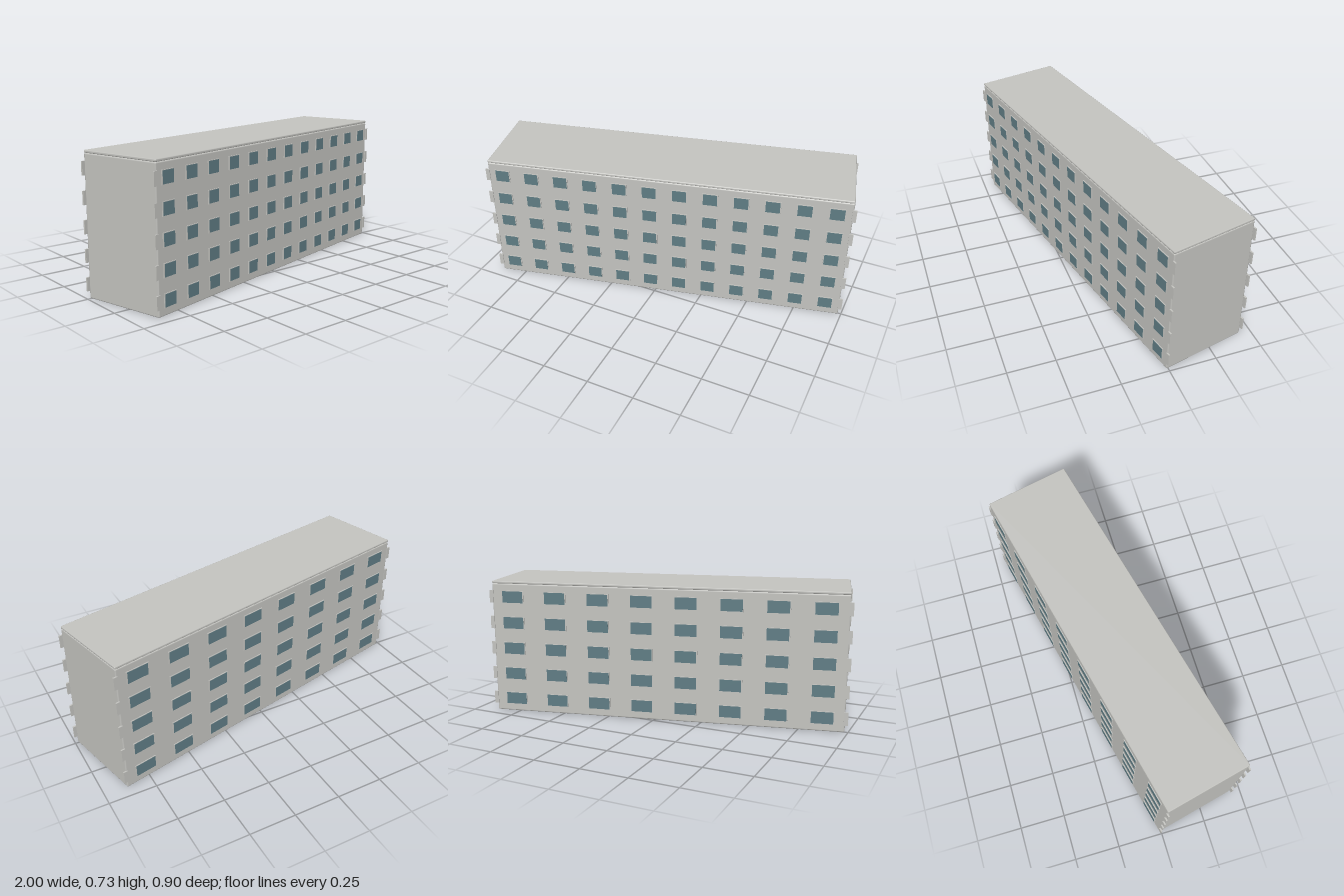
import * as THREE from 'three';
import { RoundedBoxGeometry } from 'three/addons/geometries/RoundedBoxGeometry.js';

const LENGTH = 1.914, DEPTH = 0.462, WALL_TOP = 0.718, HEIGHT = 0.732;
const ROWS = 5, FIRST_ROW = 0.0735, ROW_PITCH = 0.143, WINDOW_HEIGHT = 0.063;

export function createModel() {
  const concrete = new THREE.MeshStandardMaterial({ color: 0xc3c3bf });
  concrete.name = 'concrete';
  const glass = new THREE.MeshStandardMaterial({ color: 0x5f7c84 });
  glass.name = 'window glass';

  const building = new THREE.Group();
  building.name = 'apartmentBlock';

  function add(parent, name, geometry, material, x, y, z) {
    const mesh = new THREE.Mesh(geometry, material);
    mesh.name = name;
    mesh.position.set(x, y, z);
    parent.add(mesh);
  }

  // Bevelled main block and the roof slab above a fine groove
  add(building, 'walls', new RoundedBoxGeometry(LENGTH, WALL_TOP, DEPTH, 1, 0.007), concrete, 0, WALL_TOP / 2, 0);
  const slab = HEIGHT - WALL_TOP;
  add(building, 'roofSlab', new RoundedBoxGeometry(LENGTH, slab, DEPTH, 1, 0.005), concrete, 0, WALL_TOP + slab / 2, 0);

  // One long side, built facing +z: a grid of windows and small end ledges
  function facade(name, columns, pitch, width) {
    const side = new THREE.Group();
    side.name = name;
    const frame = new THREE.BoxGeometry(width + 0.01, WINDOW_HEIGHT + 0.006, 0.008);
    const pane = new THREE.BoxGeometry(width, WINDOW_HEIGHT, 0.004);
    const ledge = new THREE.BoxGeometry(0.022, WINDOW_HEIGHT + 0.006, 0.008);
    const z = DEPTH / 2;
    for (let row = 0; row < ROWS; row++) {
      const y = FIRST_ROW + row * ROW_PITCH;
      for (let column = 0; column < columns; column++) {
        const x = (column - (columns - 1) / 2) * pitch;
        add(side, 'windowFrame', frame, concrete, x, y, z);
        add(side, 'windowPane', pane, glass, x, y, z + 0.003);
      }
      for (const end of [-1, 1]) {
        add(side, 'endLedge', ledge, concrete, end * (LENGTH / 2 + 0.004), y, z);
      }
    }
    building.add(side);
    return side;
  }

  facade('frontFacade', 12, 0.16, 0.073);
  facade('backFacade', 8, 0.24, 0.115).rotation.y = Math.PI;

  // The block stands at an angle
  building.rotation.y = 0.2275;
  const model = new THREE.Group();
  model.name = 'building';
  model.add(building);
  return model;
}
